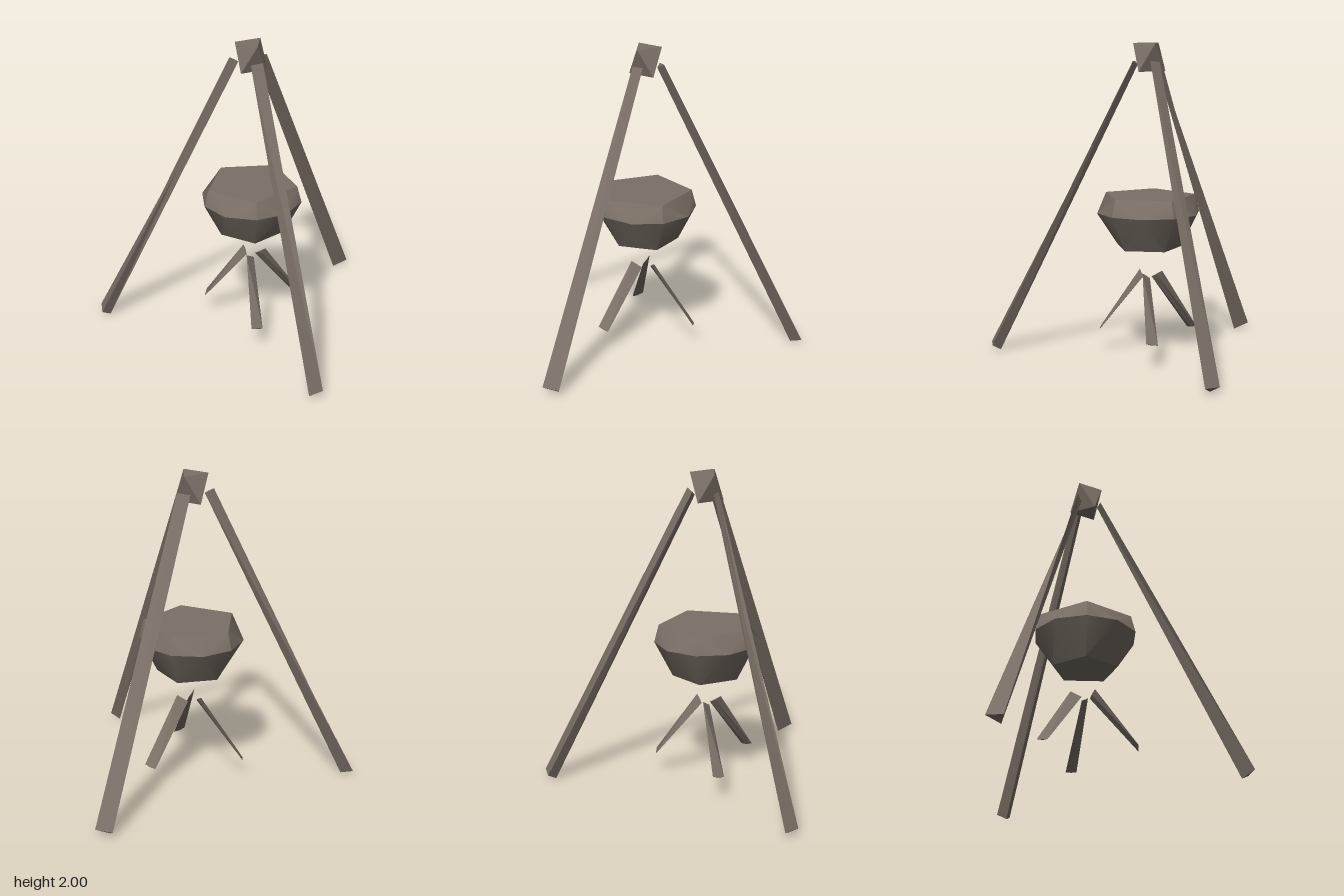
import * as THREE from 'three';
import { toCreasedNormals } from 'three/addons/utils/BufferGeometryUtils.js';
import { ConvexGeometry } from 'three/addons/geometries/ConvexGeometry.js';

const RAD = Math.PI / 180;

// Point at a radius and angle (degrees) around the vertical axis.
const polar = (r, deg, y) => new THREE.Vector3(r * Math.cos(deg * RAD), y, r * Math.sin(deg * RAD));

// Regular ring of points.
const ring = (n, r, start, y) =>
  Array.from({ length: n }, (_, i) => polar(r, start + (i * 360) / n, y));

// Closed three-sided beam between a bottom and a top triangle.
function beam(bottom, top) {
  const pts = [];
  for (let i = 0; i < 3; i++) {
    const j = (i + 1) % 3;
    pts.push(bottom[i], top[i], top[j], bottom[i], top[j], bottom[j]);
  }
  pts.push(bottom[0], bottom[1], bottom[2], top[0], top[2], top[1]);
  const geo = new THREE.BufferGeometry().setFromPoints(pts);
  geo.computeVertexNormals();
  return geo;
}

export function createModel() {
  const model = new THREE.Group();
  model.name = 'campfireTripod';
  const wood = new THREE.MeshStandardMaterial({ color: 0x7a7066, side: THREE.DoubleSide });
  wood.name = 'greyBrown';

  // Everything is arranged around the axis of the pot.
  const body = new THREE.Group();
  body.name = 'tripodAndPot';
  body.position.set(-0.02, 0, -0.235);
  model.add(body);

  const add = (name, geo) => {
    const mesh = new THREE.Mesh(geo, wood);
    mesh.name = name;
    body.add(mesh);
  };

  // Faceted joint block at the top
  add('topJoint', new ConvexGeometry([...ring(3, 0.1, 90, 2), ...ring(3, 0.105, 30, 1.825)]));

  // Legs: same feet turned by 120 degrees, each flattened differently at its top
  const legs = [
    ['leftLeg', [[0.055, 1.885, -0.075], [0.12, 1.895, -0.025], [0.055, 1.862, -0.045]]],
    ['frontLeg', [[0.04, 1.89, 0.095], [-0.04, 1.885, 0.09], [0, 1.865, 0.07]]],
    ['rightLeg', [[-0.12, 1.9, -0.06], [-0.088, 1.885, -0.046], [-0.07, 1.872, -0.035]]],
  ];
  legs.forEach(([name, top], i) => {
    const a = i * 120;
    const foot = [polar(1.014, a - 32, 0.035), polar(1.042, a - 26, 0.04), polar(0.967, a - 29.5, 0)];
    add(name, beam(foot, top.map((p) => new THREE.Vector3(...p))));
  });

  // Pot: five-sided lid and base around a ten-sided waist
  const pot = new ConvexGeometry([
    ...ring(5, 0.3, 180, 1.04),
    ...ring(10, 0.329, 0, 0.93),
    ...ring(5, 0.215, 180, 0.705),
  ]);
  add('pot', toCreasedNormals(pot, 0.6));

  // Thin twisted firewood blades below the pot
  for (let i = 0; i < 3; i++) {
    const a = i * 120;
    add('firewood' + (i + 1), beam(
      [polar(0.337, a - 18, 0.14), polar(0.357, a - 5.6, 0.155), polar(0.341, a - 11.5, 0.143)],
      [polar(0.034, a - 27, 0.51), polar(0.09, a + 16, 0.55), polar(0.055, a + 8, 0.525)],
    ));
  }

  return model;
}
